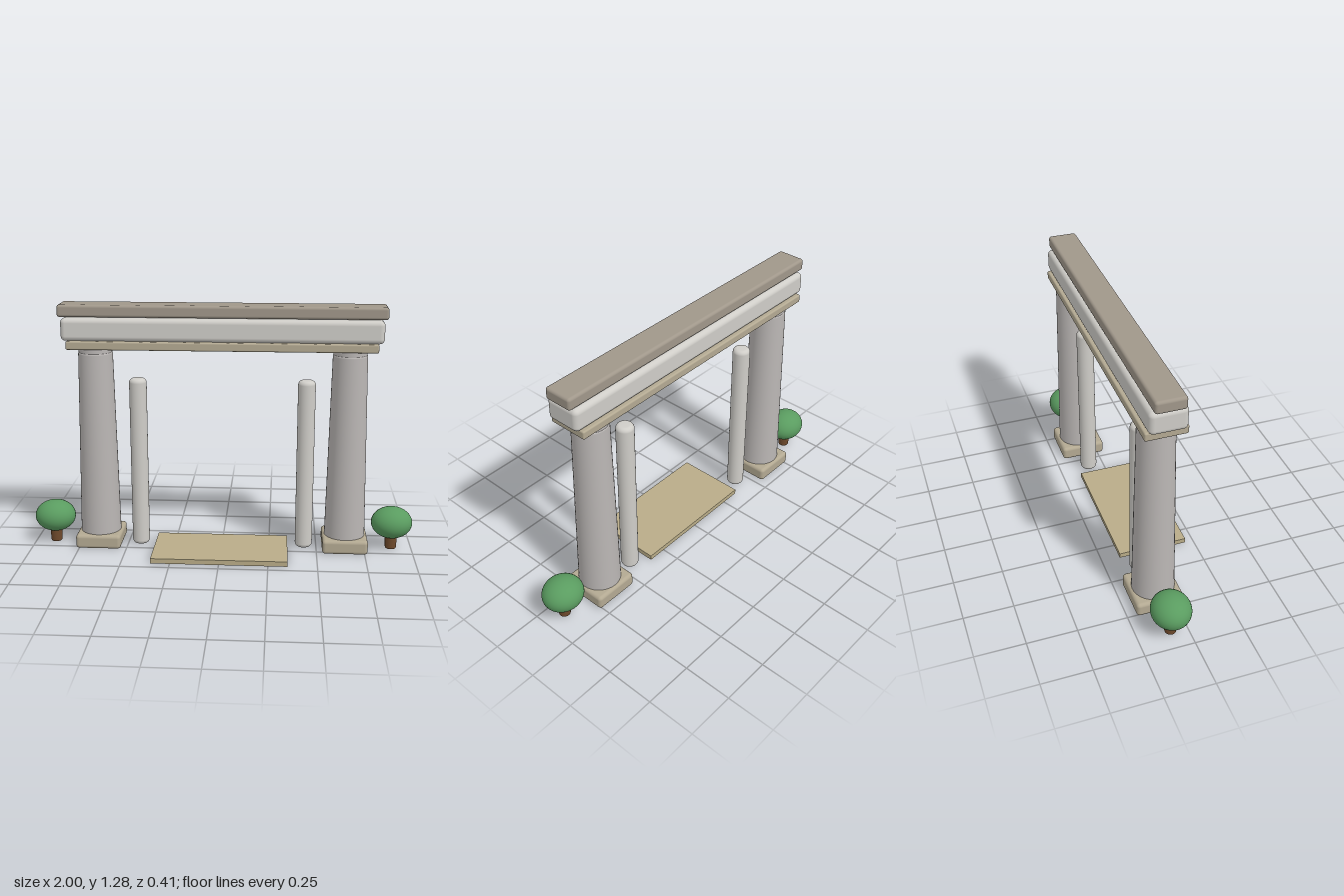
import * as THREE from 'three';
import { RoundedBoxGeometry } from 'three/addons/geometries/RoundedBoxGeometry.js';

const Z = -0.085; // depth of the gate's centre line

const paint = (color) => new THREE.MeshStandardMaterial({ color });
const stone = paint(0xbab6b4);
const pale = paint(0xcfcdc8);
const sand = paint(0xb3a992);
const taupe = paint(0xa0978a);
const tan = paint(0xb9ac88);
const bark = paint(0x6f4a2c);
const leaf = paint(0x5a9c60);

function add(parent, name, geometry, material, x, y, z) {
  const mesh = new THREE.Mesh(geometry, material);
  mesh.name = name;
  mesh.position.set(x, y, z);
  parent.add(mesh);
  return mesh;
}

// Box with softened edges, standing on y
function block(parent, name, material, [w, h, d], radius, x, y, z) {
  return add(parent, name, new RoundedBoxGeometry(w, h, d, 4, radius), material, x, y + h / 2, z);
}

// Tapered round shaft with softened rims, standing on its own origin
function shaft(bottom, top, height, rim) {
  const points = [new THREE.Vector2(0, 0)];
  const steps = 5;
  for (let i = 0; i <= steps; i++) {
    const a = (i / steps) * Math.PI / 2;
    points.push(new THREE.Vector2(bottom - rim + rim * Math.sin(a), rim - rim * Math.cos(a)));
  }
  for (let i = 0; i <= steps; i++) {
    const a = (i / steps) * Math.PI / 2;
    points.push(new THREE.Vector2(top - rim + rim * Math.cos(a), height - rim + rim * Math.sin(a)));
  }
  points.push(new THREE.Vector2(0, height));
  return new THREE.LatheGeometry(points, 40);
}

function createSide(side) {
  const group = new THREE.Group();
  group.name = side > 0 ? 'leftSide' : 'rightSide';

  // Main column on its plinth
  const x = side * 0.647;
  block(group, 'plinth', sand, [0.236, 0.075, 0.24], 0.018, x, 0.005, Z);
  add(group, 'column', shaft(0.107, 0.088, 1.04, 0.012), stone, x, 0.004, Z);
  add(group, 'columnNeck', shaft(0.085, 0.085, 0.05, 0.01), stone, x, 1.022, Z);

  // Slim inner post
  add(group, 'post', shaft(0.045, 0.045, 0.9, 0.022), pale, side * 0.433, 0.004, Z);

  // Clipped shrub
  const shrub = new THREE.Group();
  shrub.name = 'shrub';
  shrub.position.set(side * 0.893, 0, Z);
  add(shrub, 'trunk', shaft(0.029, 0.033, 0.1, 0.008), bark, 0, 0.004, 0);
  const crown = add(shrub, 'crown', new THREE.SphereGeometry(1, 40, 24), leaf, 0, 0.148, 0);
  crown.scale.set(0.107, 0.083, 0.098);
  group.add(shrub);
  return group;
}

export function createModel() {
  const model = new THREE.Group();
  model.name = 'gate';
  for (const side of [-1, 1]) model.add(createSide(side));

  // Stacked lintel
  block(model, 'lowerLintel', sand, [1.56, 0.043, 0.202], 0.008, 0, 1.065, Z);
  block(model, 'beam', pale, [1.616, 0.116, 0.18], 0.025, 0, 1.106, Z);
  block(model, 'capstone', taupe, [1.65, 0.062, 0.147], 0.014, 0, 1.225, Z);

  // Flat threshold running forward through the gate
  add(model, 'threshold', new THREE.BoxGeometry(0.696, 0.026, 0.36), tan, 0, 0.018, 0.025);
  return model;
}
